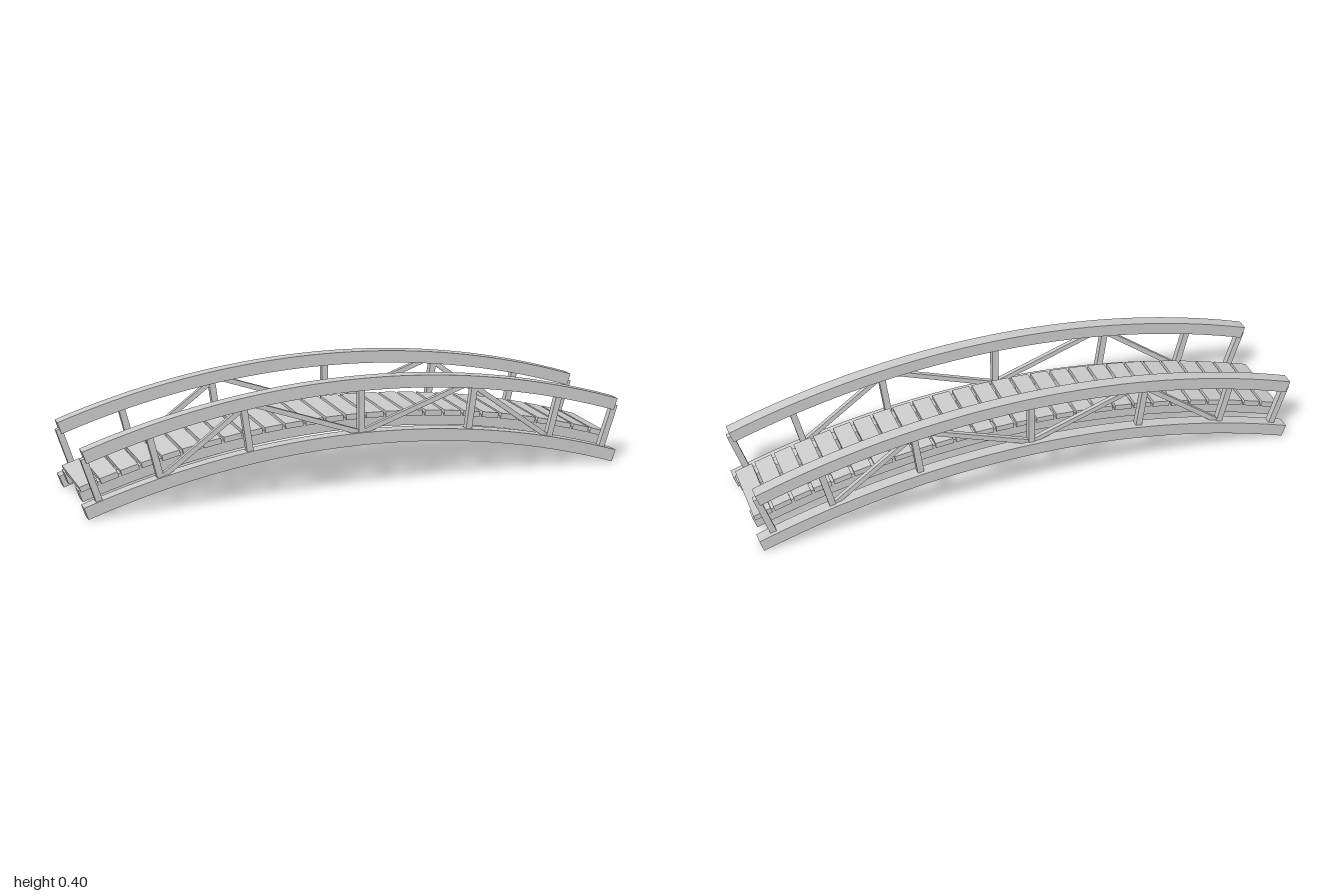
import * as THREE from 'three';

const R = 3.11;                     // radius of every arc
const HALF = Math.asin(1 / R);      // half of the arc's angle
const SIZE = 0.045;                 // beam thickness
const CROWN = 0.2076;               // top of the lower rail at midspan
const RAIL_GAP = 0.197, STRINGER_LIFT = 0.038;

const material = new THREE.MeshStandardMaterial({ color: 0xcccccc });

function addMesh(parent, name, geometry) {
  const mesh = new THREE.Mesh(geometry, material);
  mesh.name = name;
  parent.add(mesh);
  return mesh;
}

// Point at an angle from the crown, at a height along the radius
const arcPoint = (angle, height) => new THREE.Vector2(
  Math.sin(angle) * (R + height),
  CROWN - R + Math.cos(angle) * (R + height));

// Square beam bent along the arc
function addBeam(parent, name, lift, z) {
  const shape = new THREE.Shape();
  shape.absarc(0, 0, R, Math.PI / 2 - HALF, Math.PI / 2 + HALF, false);
  shape.absarc(0, 0, R - SIZE, Math.PI / 2 + HALF, Math.PI / 2 - HALF, true);
  const geometry = new THREE.ExtrudeGeometry(shape, { depth: SIZE, bevelEnabled: false, curveSegments: 20 });
  geometry.translate(0, 0, -SIZE / 2);
  addMesh(parent, name, geometry).position.set(0, CROWN - R + lift, z);
}

// Straight bar between two points of the side truss
function addBar(parent, name, a, b, width, depth, z) {
  const d = b.clone().sub(a);
  const bar = addMesh(parent, name, new THREE.BoxGeometry(width, d.length(), depth));
  bar.position.set((a.x + b.x) / 2, (a.y + b.y) / 2, z);
  bar.rotation.z = Math.atan2(d.y, d.x) - Math.PI / 2;
}

function createSideTruss(name, z) {
  const side = new THREE.Group();
  side.name = name;
  addBeam(side, 'lowerRail', 0, z);
  addBeam(side, 'upperRail', RAIL_GAP, z);
  const barZ = z + 0.004;

  // Posts follow the radius of the arc
  for (const x of [-0.945, -0.73, -0.41, 0, 0.41, 0.73, 0.945]) {
    const angle = Math.asin(x / R);
    addBar(side, 'post', arcPoint(angle, -0.01), arcPoint(angle, 0.16), 0.023, 0.024, barZ);
  }
  // Diagonal braces, mirrored about midspan
  for (const s of [-1, 1]) {
    const v = (x, y) => new THREE.Vector2(s * x, y);
    addBar(side, 'innerBrace', v(0.01, 0.208), v(0.41, 0.348), 0.018, 0.016, barZ);
    addBar(side, 'outerBrace', v(0.41, 0.35), v(0.72, 0.122), 0.018, 0.016, barZ);
  }
  return side;
}

function createDeck() {
  const deck = new THREE.Group();
  deck.name = 'deck';
  addBeam(deck, 'stringer', STRINGER_LIFT, 0.109);
  addBeam(deck, 'stringer', STRINGER_LIFT, -0.105);

  // Cross planks along the arc
  const count = 27, span = Math.asin(0.963 / R);
  const plank = new THREE.BoxGeometry(0.065, 0.02, 0.272);
  for (let i = 0; i < count; i++) {
    const angle = span * (2 * i / (count - 1) - 1);
    const p = arcPoint(angle, 0.001);
    const mesh = addMesh(deck, 'plank', plank);
    mesh.position.set(p.x, p.y + STRINGER_LIFT, 0.002);
    mesh.rotation.z = -angle;
  }
  return deck;
}

export function createModel() {
  const bridge = new THREE.Group();
  bridge.name = 'archedFootbridge';
  bridge.add(createSideTruss('frontTruss', 0.192));
  bridge.add(createSideTruss('backTruss', -0.192));
  bridge.add(createDeck());
  return bridge;
}
